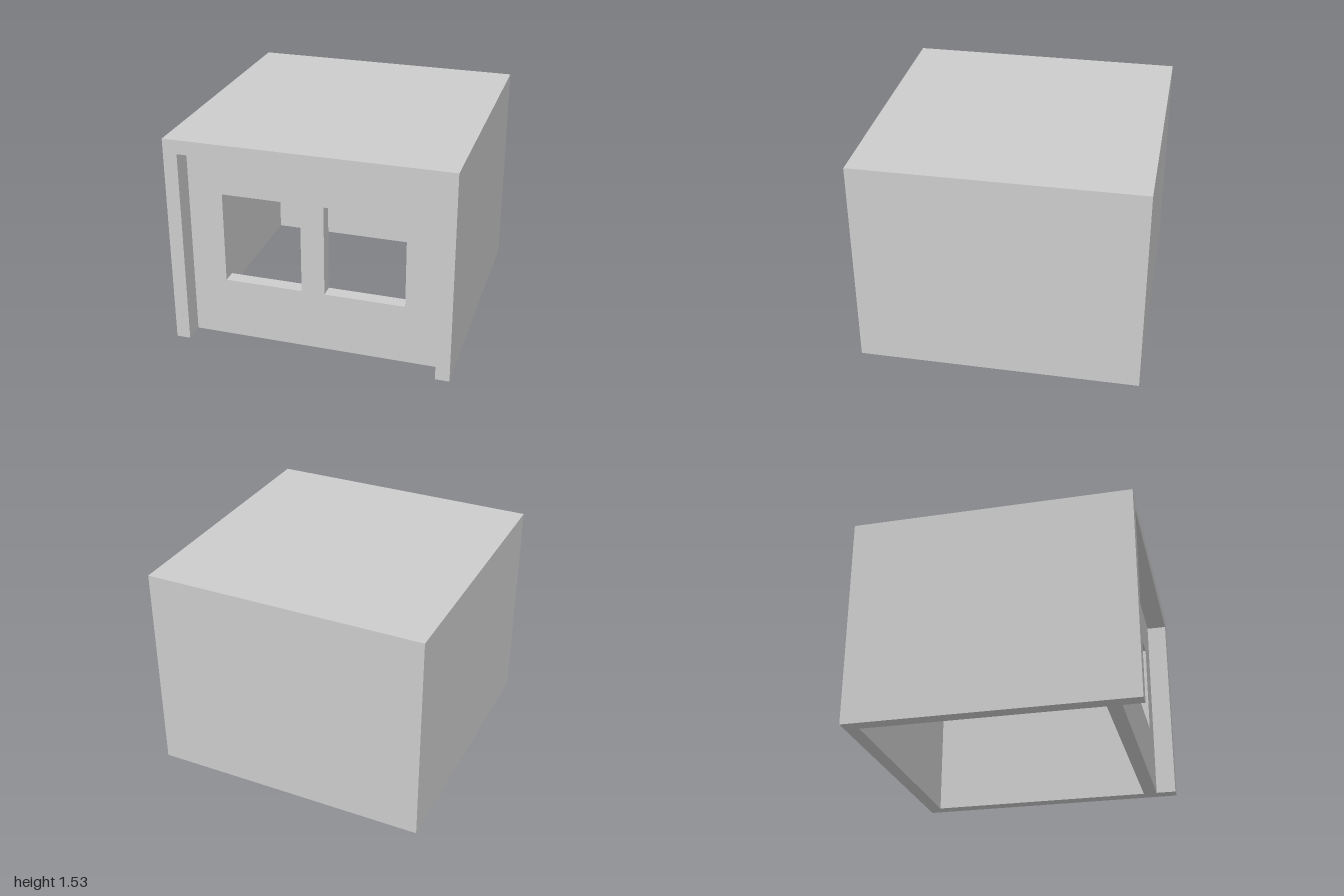
import * as THREE from 'three';

const W = 2, H = 1.53, T = 0.1;           // outer width/depth, height, wall thickness
const IX = W / 2 - T, IY = H - T;         // inner half width and ceiling height
const material = new THREE.MeshStandardMaterial({ color: 0xcccccc, flatShading: true });

const polygon = (points, Type = THREE.Shape) =>
  new Type(points.map(([x, y]) => new THREE.Vector2(x, y)));

const rect = (x0, y0, x1, y1, Type) =>
  polygon([[x0, y0], [x1, y0], [x1, y1], [x0, y1]], Type);

// Extrudes a shape along z from z0 to z1
function slab(name, shape, z0, z1) {
  const geometry = new THREE.ExtrudeGeometry(shape, { depth: z1 - z0, bevelEnabled: false });
  geometry.translate(0, 0, z0);
  const mesh = new THREE.Mesh(geometry, material);
  mesh.name = name;
  return mesh;
}

export function createModel() {
  const model = new THREE.Group();
  model.name = 'building';

  // Side walls and roof as one arch-shaped section, open at the bottom
  const arch = polygon([
    [-1, 0], [-IX, 0], [-IX, IY], [IX, IY], [IX, 0], [1, 0], [1, H], [-1, H],
  ]);
  model.add(slab('sideWallsAndRoof', arch, -1, 1));

  // Closed back wall
  model.add(slab('backWall', rect(-IX, 0, IX, IY), -1, -1 + T));

  // Recessed front wall with two window openings
  const front = rect(-IX, 0, IX, IY);
  for (const [x0, x1] of [[-0.655, -0.093], [0.073, 0.647]]) {
    front.holes.push(rect(x0, 0.44, x1, 1.105, THREE.Path));
  }
  model.add(slab('frontWall', front, 0.755, 0.855));

  return model;
}
